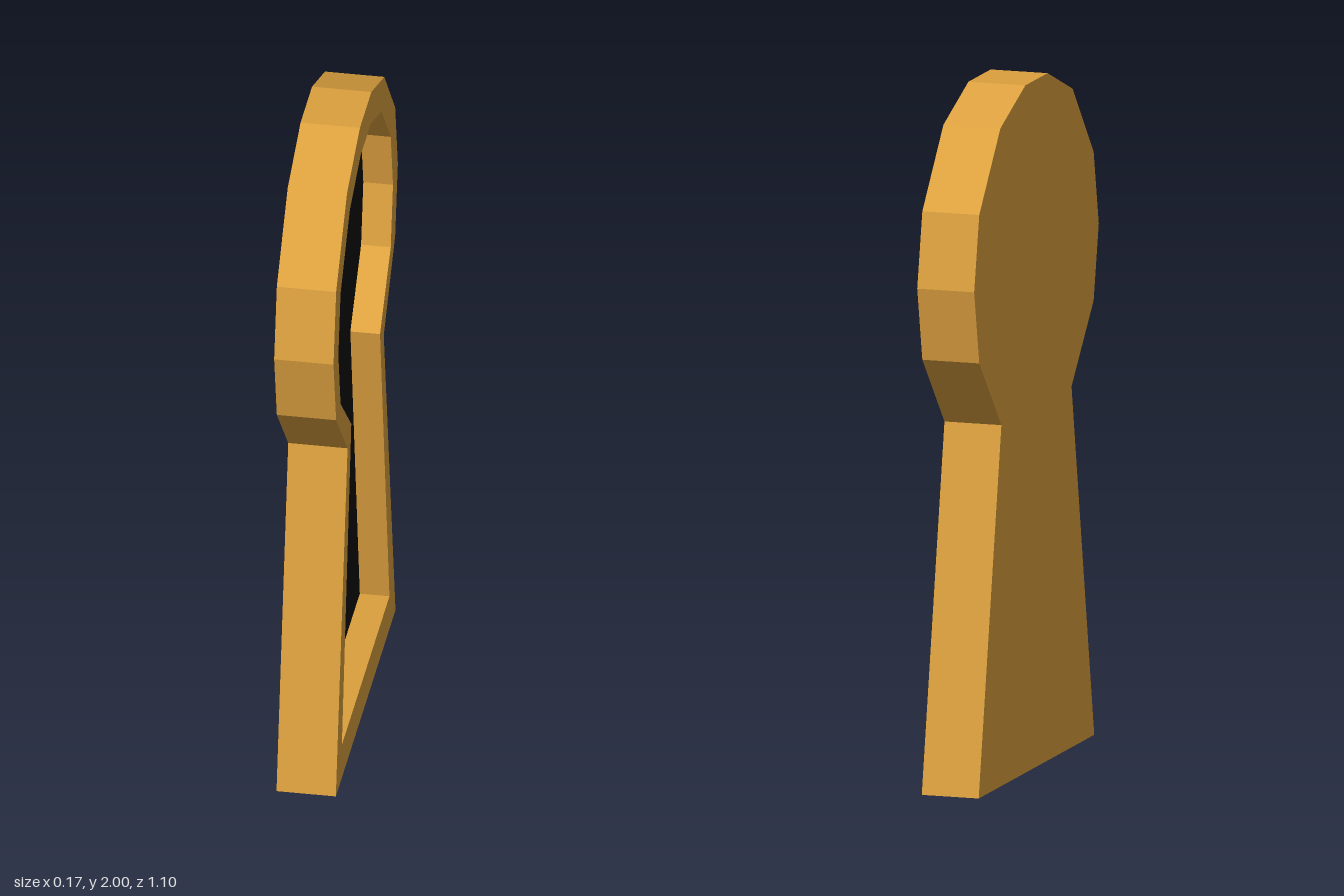
import * as THREE from 'three';
import { mergeGeometries } from 'three/addons/utils/BufferGeometryUtils.js';

const HALF = 0.086; // half the thickness

// Right half of each keyhole outline, bottom to top: [across, height]
const OUTER = [[0.509, 0], [0.309, 1.05], [0.504, 1.265], [0.549, 1.48], [0.504, 1.697], [0.318, 1.915], [0.098, 2]];
const INNER = [[0.406, 0.11], [0.245, 1.093], [0.428, 1.273], [0.466, 1.46], [0.428, 1.645], [0.271, 1.828], [0.086, 1.9]];

// Mirror a half outline into a full counter-clockwise loop
function loop(half) {
  const right = half.map(([x, y]) => new THREE.Vector2(x, y));
  const left = half.map(([x, y]) => new THREE.Vector2(-x, y)).reverse();
  return [...right, ...left];
}

// Flat-shaded band of quads along a closed loop; a counter-clockwise loop faces outward
function wall(points, z0, z1) {
  const pos = [];
  const uv = [];
  points.forEach((a, i) => {
    const b = points[(i + 1) % points.length];
    pos.push(a.x, a.y, z0, b.x, b.y, z0, b.x, b.y, z1);
    pos.push(a.x, a.y, z0, b.x, b.y, z1, a.x, a.y, z1);
    uv.push(0, 0, 1, 0, 1, 1, 0, 0, 1, 1, 0, 1);
  });
  const geo = new THREE.BufferGeometry();
  geo.setAttribute('position', new THREE.Float32BufferAttribute(pos, 3));
  geo.setAttribute('uv', new THREE.Float32BufferAttribute(uv, 2));
  geo.computeVertexNormals();
  return geo;
}

export function createModel() {
  const model = new THREE.Group();
  model.name = 'keyhole';
  const gold = new THREE.MeshStandardMaterial({ color: 0xdca03e, flatShading: true });
  const black = new THREE.MeshStandardMaterial({ color: 0x0d0d0d, flatShading: true });
  const outer = loop(OUTER);
  const inner = loop(INNER);

  const add = (name, geo, material) => {
    geo.rotateY(Math.PI / 2); // outline faces +x
    const mesh = new THREE.Mesh(geo, material);
    mesh.name = name;
    model.add(mesh);
  };

  // Golden frame: rim, outer edge, recess walls and solid back
  const rimShape = new THREE.Shape(outer);
  rimShape.holes.push(new THREE.Path(inner));
  const rim = new THREE.ShapeGeometry(rimShape).translate(0, 0, HALF);
  const back = new THREE.ShapeGeometry(new THREE.Shape(outer)).rotateY(Math.PI).translate(0, 0, -HALF);
  const parts = [rim, back, wall(outer, -HALF, HALF), wall([...inner].reverse(), 0, HALF)];
  add('frame', mergeGeometries(parts.map((g) => (g.index ? g.toNonIndexed() : g))), gold);

  // Dark floor of the recess, halfway through the thickness
  add('recessFloor', new THREE.ShapeGeometry(new THREE.Shape(inner)), black);

  return model;
}
